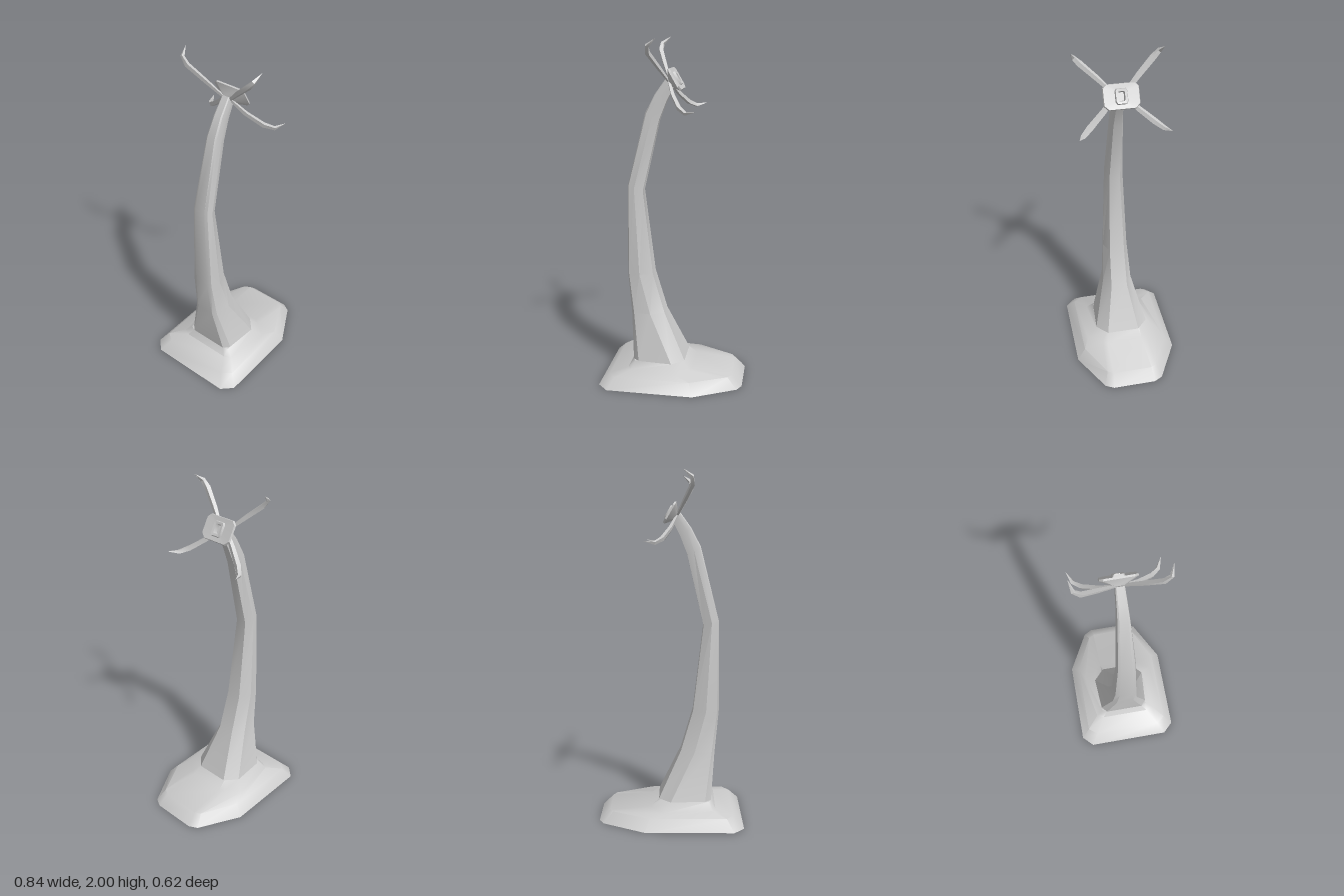
import * as THREE from 'three';
import { toCreasedNormals } from 'three/addons/utils/BufferGeometryUtils.js';

const material = new THREE.MeshStandardMaterial({ color: 0xcccccc });

// Skin a list of equal-length rings and close both ends
function loft(rings, crease) {
  const n = rings[0].length;
  const pos = [], index = [];
  rings.forEach(r => r.forEach(p => pos.push(...p)));
  for (let i = 0; i < rings.length - 1; i++) {
    for (let j = 0; j < n; j++) {
      const a = i * n + j, b = i * n + (j + 1) % n;
      index.push(a, b, b + n, a, b + n, a + n);
    }
  }
  [0, rings.length - 1].forEach((r, end) => {
    const c = pos.length / 3;
    pos.push(...[0, 1, 2].map(k => rings[r].reduce((s, p) => s + p[k], 0) / n));
    for (let j = 0; j < n; j++) {
      const a = r * n + j, b = r * n + (j + 1) % n;
      index.push(...(end ? [a, b, c] : [b, a, c]));
    }
  });
  const g = new THREE.BufferGeometry();
  g.setAttribute('position', new THREE.Float32BufferAttribute(pos, 3));
  g.setIndex(index);
  return toCreasedNormals(g, crease);
}

// Complete a half ring (z > 0, back to front) by mirroring it across z
const mirrorRing = half => [...half, ...half.map(([x, y, z]) => [x, y, -z]).reverse()];

function part(name, geometry) {
  const mesh = new THREE.Mesh(geometry, material);
  mesh.name = name;
  return mesh;
}

// Low stepped foot, clipped at the corners and narrowing to the front
function makeBase() {
  const levels = [
    [0, [[-0.42, 0.25], [-0.36, 0.312], [0.145, 0.312], [0.39, 0.18], [0.417, 0.13]]],
    [0.063, [[-0.36, 0.21], [-0.32, 0.262], [0.12, 0.262], [0.335, 0.155], [0.355, 0.12]]],
    [0.082, [[-0.26, 0.15], [-0.24, 0.19], [0.04, 0.228], [0.1, 0.14], [0.118, 0.11]]],
    [0.122, [[-0.235, 0.12], [-0.22, 0.15], [0, 0.165], [0.06, 0.11], [0.07, 0.1]]],
  ];
  return part('base', loft(levels.map(([y, pts]) => mirrorRing(pts.map(([x, z]) => [x, y, z]))), 0.75));
}

// Curved tapering neck: back x,y / middle x / front x,y / half widths back, middle, front
function makeNeck() {
  const sections = [
    [-0.235, 0.12, 0.0, 0.07, 0.12, 0.12, 0.165, 0.1],
    [-0.257, 0.4, -0.14, -0.06, 0.4, 0.055, 0.09, 0.05],
    [-0.28, 0.64, -0.205, -0.13, 0.64, 0.042, 0.076, 0.045],
    [-0.275, 1.17, -0.235, -0.188, 1.14, 0.032, 0.056, 0.032],
    [-0.17, 1.59, -0.13, -0.092, 1.55, 0.024, 0.037, 0.024],
    [-0.115, 1.695, -0.088, -0.05, 1.655, 0.02, 0.031, 0.02],
    [-0.05, 1.785, -0.03, -0.005, 1.74, 0.018, 0.026, 0.018],
  ];
  return part('neck', loft(sections.map(([xb, yb, xm, xf, yf, zb, zm, zf]) => {
    const at = x => yb + (yf - yb) * (x - xb) / (xf - xb);
    const xs = xb + (xm - xb) * 0.15;
    return mirrorRing([
      [xb, yb, zb], [xs, at(xs), zb + (zm - zb) * 0.7], [xm, at(xm), zm], [xf, yf, zf],
    ]);
  }), 0.5));
}

// Thin tilted head plate with a recessed mouth
function makeHead() {
  const rings = [
    [0.025, 0.022, -0.045], [0.098, 0.068, -0.005], [0.094, 0.065, 0.005],
    [0.034, 0.042, 0.002], [0.03, 0.038, 0.014], [0.018, 0.026, 0.012], [0.016, 0.022, -0.015],
  ].map(([w, h, d]) => [
    [w * 0.75, -h, d], [w, -h * 0.65, d], [w, h * 0.7, d], [w * 0.8, h, d],
    [-w * 0.8, h, d], [-w, h * 0.7, d], [-w, -h * 0.65, d], [-w * 0.75, -h, d],
  ]);
  const head = part('head', loft(rings, 0.5));
  head.position.set(0.007, 1.78, 0);
  head.rotation.set(0, Math.PI / 2, Math.PI / 6, 'ZYX');
  return head;
}

// Hooked feeler: four-sided sections along a path, pointed at the tip
function makeFeeler(name, path, side) {
  const radii = [0.01, 0.016, 0.018, 0.014, 0.001];
  const pts = path.map(([x, y, z]) => new THREE.Vector3(x, y, z * side));
  const rings = pts.map((p, i) => {
    const t = pts[Math.min(i + 1, 4)].clone().sub(pts[Math.max(i - 1, 0)]).normalize();
    const u = new THREE.Vector3(1, 1, 0).cross(t).normalize();
    const v = t.clone().cross(u);
    return [0, 1, 2, 3].map(k => {
      const a = k * Math.PI / 2;
      return p.clone().addScaledVector(u, radii[i] * Math.cos(a))
        .addScaledVector(v, radii[i] * 0.8 * Math.sin(a)).toArray();
    });
  });
  return part(name, loft(rings, 0.6));
}

export function createModel() {
  const model = new THREE.Group();
  model.name = 'longNeckedCreature';
  model.add(makeBase(), makeNeck(), makeHead());

  const upper = [[-0.035, 1.765, 0.02], [-0.08, 1.85, 0.11], [-0.118, 1.925, 0.195], [-0.115, 1.962, 0.228], [-0.07, 2, 0.244]];
  const lower = [[-0.035, 1.765, 0.02], [0.0, 1.695, 0.095], [0.047, 1.635, 0.175], [0.088, 1.612, 0.218], [0.145, 1.624, 0.245]];
  for (const [sideName, side] of [['front', 1], ['back', -1]]) {
    model.add(makeFeeler(sideName + 'UpperFeeler', upper, side));
    model.add(makeFeeler(sideName + 'LowerFeeler', lower, side));
  }
  return model;
}
